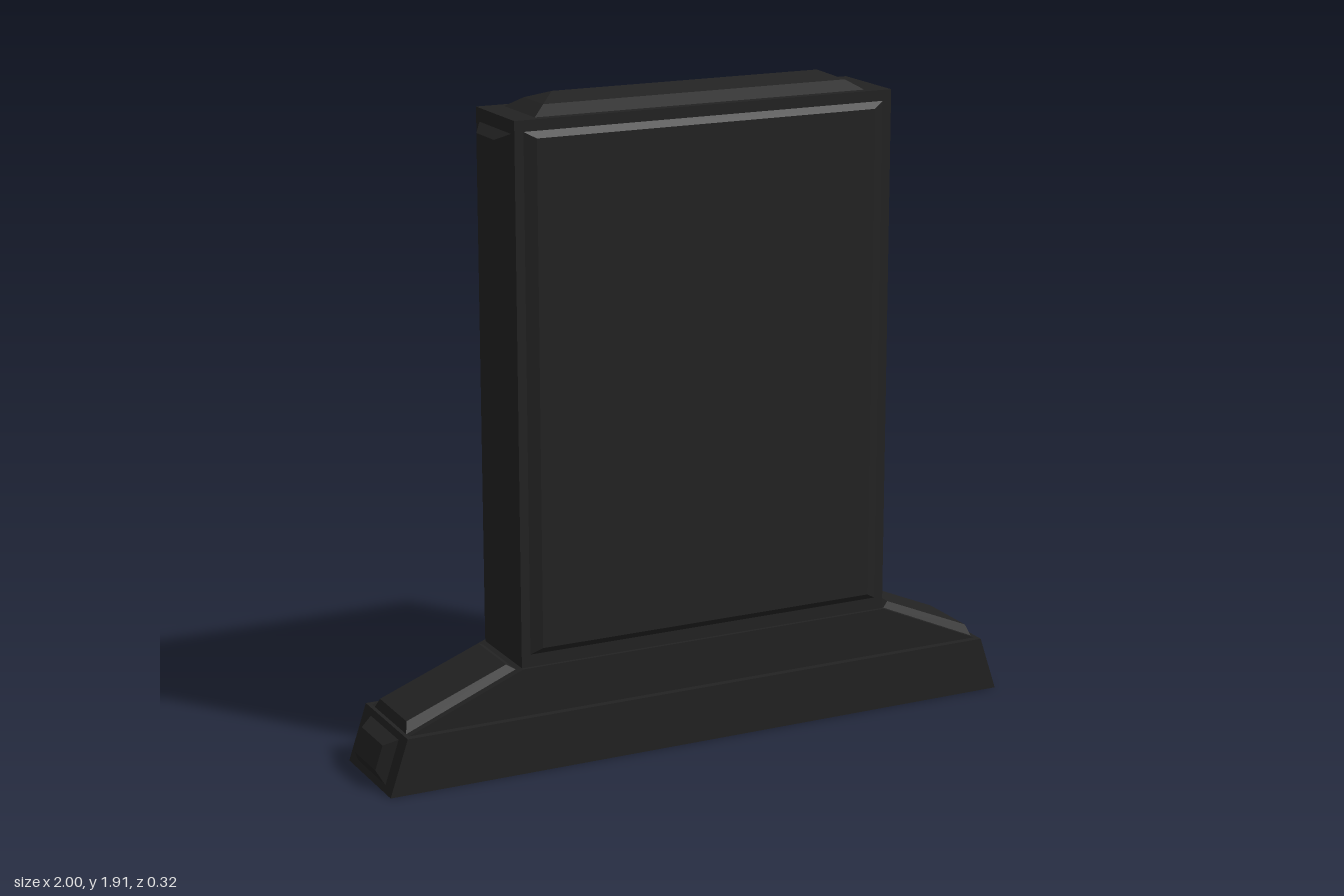
import * as THREE from 'three';
import { ConvexGeometry } from 'three/addons/geometries/ConvexGeometry.js';

const MAT = new THREE.MeshStandardMaterial({ color: 0x222222, flatShading: true });

// Faceted solid through stacked rectangles [x0, x1, halfDepth, y]
function stack(name, levels) {
  const pts = [];
  for (const [x0, x1, d, y] of levels)
    for (const x of [x0, x1]) for (const z of [-d, d]) pts.push(new THREE.Vector3(x, y, z));
  const mesh = new THREE.Mesh(new ConvexGeometry(pts), MAT);
  mesh.name = name;
  return mesh;
}

// Raised panel with bevelled rim, facing +z
function panel(name, w, h, topW, topH, rise) {
  const pts = [];
  for (const sx of [-0.5, 0.5]) for (const sy of [-0.5, 0.5]) {
    pts.push(new THREE.Vector3(sx * w, sy * h, -0.005));
    pts.push(new THREE.Vector3(sx * topW, sy * topH, rise));
  }
  const mesh = new THREE.Mesh(new ConvexGeometry(pts), MAT);
  mesh.name = name;
  return mesh;
}

// Panel lying on an end face that runs from (x1, y1) up to (x2, y2)
function endPanel(name, [x1, y1], [x2, y2], w, topW, rim, inset, rise) {
  const len = Math.hypot(x2 - x1, y2 - y1);
  const mesh = panel(name, w, len - 2 * rim, topW, len - 2 * inset, rise);
  const side = Math.sign(x1);
  const tilt = Math.atan2(Math.abs(x1 - x2), y2 - y1);
  mesh.rotation.set(0, Math.PI / 2, side > 0 ? tilt : Math.PI - tilt, 'ZYX');
  mesh.position.set((x1 + x2) / 2, (y1 + y2) / 2, 0);
  return mesh;
}

export function createModel() {
  const group = new THREE.Group();
  group.name = 'monument';
  const L = -0.57, R = 0.6, cx = (L + R) / 2;

  // Plinth: wide foot and tapering shoulder
  group.add(stack('foot', [[-0.985, 0.985, 0.16, 0], [-0.93, 0.93, 0.16, 0.165]]));
  group.add(stack('shoulder', [[-0.93, 0.93, 0.14, 0.16], [L, R, 0.14, 0.305]]));

  // Upright slab and hipped cap
  group.add(stack('slab', [[L, R, 0.13, 0.29], [L, R, 0.13, 1.86]]));
  group.add(stack('cap', [
    [cx - 0.52, cx + 0.52, 0.11, 1.855],
    [cx - 0.47, cx + 0.47, 0.065, 1.887],
    [cx - 0.415, cx + 0.415, 0, 1.91],
  ]));

  // Large raised panels on the two broad faces
  for (const s of [1, -1]) {
    const face = panel(s > 0 ? 'frontPanel' : 'backPanel', 1.14, 1.5, 1.05, 1.45, 0.014);
    face.position.set(cx, 1.085, s * 0.13);
    if (s < 0) face.rotation.y = Math.PI;
    group.add(face);
  }

  // Panels on the slab edges, shoulder slopes and foot ends
  for (const s of [1, -1]) {
    const edge = s > 0 ? R : L;
    const side = s > 0 ? 'left' : 'right';
    group.add(endPanel(side + 'EdgePanel', [edge, 0.3], [edge, 1.86], 0.23, 0.12, 0.035, 0.06, 0.03));
    group.add(endPanel(side + 'SlopePanel', [s * 0.93, 0.165], [edge, 0.305], 0.24, 0.2, 0.01, 0.03, 0.02));
    group.add(endPanel(side + 'FootPanel', [s * 0.985, 0], [s * 0.93, 0.165], 0.22, 0.16, 0.015, 0.05, 0.03));
  }
  return group;
}
